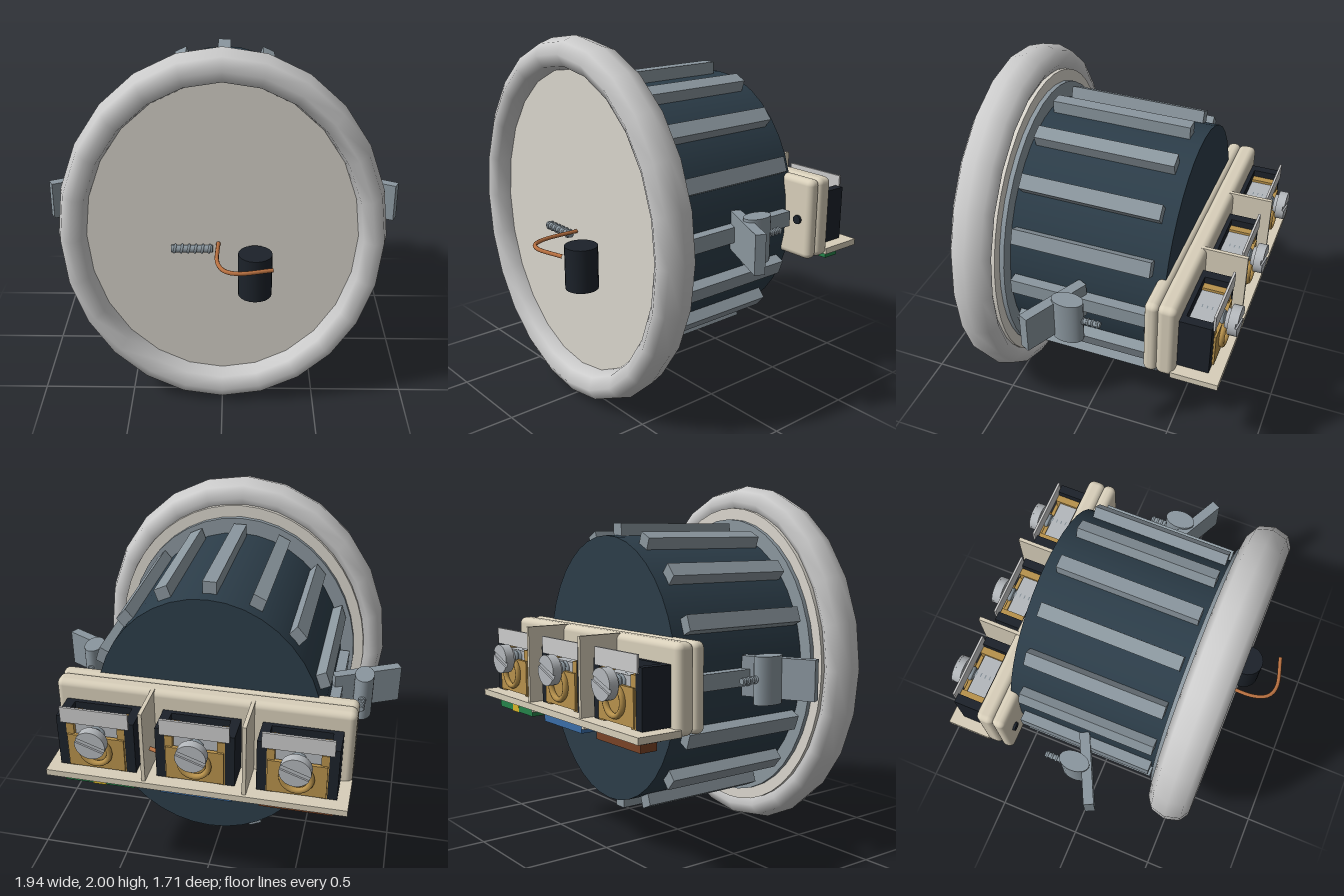
import * as THREE from 'three';
import { RoundedBoxGeometry } from 'three/addons/geometries/RoundedBoxGeometry.js';

const mat = (color) => new THREE.MeshStandardMaterial({ color });
const M = {
  ring: mat(0xdfe0dc), cover: mat(0xdad6cd), body: mat(0x2c3d49), metal: mat(0x8b979f),
  cream: mat(0xd8cfba), black: mat(0x1c222a), copper: mat(0xb87040), brass: mat(0xb8924c),
  steel: mat(0xb4b8bc), label: mat(0xd4d6d2), green: mat(0x25834a), blue: mat(0x3a6ea8),
  brown: mat(0x7a4326), yellow: mat(0xd8b52a),
};

function add(parent, name, geo, material, x = 0, y = 0, z = 0) {
  const mesh = new THREE.Mesh(geo, material);
  mesh.name = name;
  mesh.position.set(x, y, z);
  parent.add(mesh);
  return mesh;
}
const box = (w, h, d) => new THREE.BoxGeometry(w, h, d);
// Cylinder lying along z
const rod = (r, len, seg = 20) => new THREE.CylinderGeometry(r, r, len, seg).rotateX(Math.PI / 2);

// Threaded rod along z, centred on its own origin
function threadedRod(name, r, len, turns) {
  const g = new THREE.Group();
  g.name = name;
  add(g, 'core', rod(r * 0.75, len, 12), M.metal);
  for (let i = 0; i < turns; i++) {
    const t = add(g, 'thread', new THREE.TorusGeometry(r * 0.75, r * 0.28, 6, 14), M.metal,
      0, 0, ((i + 0.5) / turns - 0.5) * len);
    t.rotation.x = 0.2;
  }
  return g;
}

function wire(parent, name, points) {
  const curve = new THREE.CatmullRomCurve3(points.map((p) => new THREE.Vector3(...p)));
  add(parent, name, new THREE.TubeGeometry(curve, 24, 0.011, 8), M.copper);
}

// Round housing: rim, cover, flange, barrel and ribs, all narrowed in x
function housing() {
  const g = new THREE.Group();
  g.name = 'housing';
  g.position.y = 1.0;
  g.scale.x = 0.85;
  add(g, 'rim', new THREE.TorusGeometry(0.912, 0.088, 8, 24).scale(1, 1, 1.33), M.ring, 0, 0, 0.517);
  add(g, 'frontCover', rod(0.87, 0.13, 48), M.cover, 0, 0, 0.465);
  add(g, 'flange', rod(0.805, 0.03, 40), M.metal, 0, 0, 0.39);
  add(g, 'barrel', rod(0.717, 0.86, 40), M.body, 0, 0, -0.047);
  for (let i = 0; i < 16; i++) {
    const a = (i / 16) * Math.PI * 2;
    const rib = add(g, 'rib', box(0.09, 0.085, 0.755), M.metal,
      Math.cos(a) * 0.738, Math.sin(a) * 0.738, -0.028);
    rib.rotation.z = a;
    rib.geometry = box(0.085, 0.085, 0.755);
  }
  return g;
}

// Spring clip at the side: slanted wing, oval barrel and small bolt
function sideClip(side) {
  const g = new THREE.Group();
  g.name = side > 0 ? 'leftClip' : 'rightClip';
  const wing = add(g, 'wing', box(0.39, 0.21, 0.055), M.metal, side * 0.785, 1.005, 0.045);
  wing.rotation.y = -side * 0.46;
  const oval = new THREE.CylinderGeometry(0.053, 0.053, 0.245, 24).scale(1, 1, 1.6);
  add(g, 'clipBarrel', oval, M.metal, side * 0.778, 1.003, -0.028);
  const bolt = threadedRod('clipBolt', 0.021, 0.13, 5);
  bolt.position.set(side * 0.778, 1.01, -0.14);
  g.add(bolt);
  return g;
}

// One screw terminal with its coloured marker underneath
function terminal(x, name, color) {
  const g = new THREE.Group();
  g.name = name;
  g.position.x = x;
  for (const s of [-1, 1]) {
    add(g, 'sideBlock', box(0.05, 0.3, 0.17), M.black, s * 0.18, 0.975, -0.679);
    add(g, 'clampCheek', box(0.04, 0.26, 0.17), M.brass, s * 0.135, 0.955, -0.68);
  }
  add(g, 'backBlock', box(0.4, 0.3, 0.03), M.black, 0, 0.975, -0.605);
  add(g, 'nut', box(0.23, 0.24, 0.13), M.steel, 0, 0.95, -0.675);
  add(g, 'clampPlate', box(0.3, 0.19, 0.02), M.brass, 0, 0.93, -0.765);
  add(g, 'wireLoop', new THREE.TorusGeometry(0.075, 0.016, 8, 24), M.brass, 0, 0.945, -0.785);
  add(g, 'labelPlate', box(0.36, 0.09, 0.012), M.label, 0, 1.14, -0.768);
  // Slotted screw
  const shaft = threadedRod('screwShaft', 0.042, 0.16, 6);
  shaft.position.set(0, 1.03, -0.73);
  g.add(shaft);
  add(g, 'screwCollar', rod(0.055, 0.025), M.steel, 0, 1.03, -0.8);
  add(g, 'screwHead', rod(0.08, 0.04, 24), M.steel, 0, 1.03, -0.828);
  for (const s of [-1, 1]) {
    const cap = new THREE.Shape();
    cap.absarc(0, 0, 0.08, 0.16, Math.PI - 0.16);
    const half = add(g, 'screwHeadHalf', new THREE.ExtrudeGeometry(cap,
      { depth: 0.012, bevelEnabled: false, curveSegments: 12 }), M.steel, 0, 1.03, -0.858);
    half.rotation.z = s > 0 ? 0.35 : 0.35 + Math.PI;
  }
  // Marker below the shelf
  add(g, 'markerFrame', box(0.42, 0.02, 0.12), M.black, 0, 0.777, -0.715);
  add(g, 'marker', box(0.38, 0.08, 0.095), color, 0, 0.76, -0.716);
  return g;
}

// Terminal block on the back
function terminalBlock() {
  const g = new THREE.Group();
  g.name = 'terminalBlock';
  add(g, 'mainPlate', new RoundedBoxGeometry(1.565, 0.45, 0.1, 3, 0.035), M.cream, 0, 1.005, -0.547);
  add(g, 'innerPlate', new RoundedBoxGeometry(1.565, 0.45, 0.075, 3, 0.033), M.cream, 0, 1.005, -0.468);
  add(g, 'shelf', box(1.57, 0.035, 0.25), M.cream, 0, 0.802, -0.705);
  for (const s of [-1, 1]) {
    add(g, 'divider', box(0.02, 0.43, 0.25), M.cream, s * 0.262, 1.015, -0.69);
    add(g, 'lowerDivider', box(0.02, 0.03, 0.2), M.cream, s * 0.262, 0.775, -0.7);
    add(g, 'fixingScrew', rod(0.025, 0.03, 12), M.black, s * 0.7, 1.0, -0.432);
  }
  g.add(terminal(-0.52, 'rightTerminal', M.brown));
  g.add(terminal(0, 'middleTerminal', M.blue));
  g.add(terminal(0.52, 'leftTerminal', M.green));
  add(g, 'markerStripe', box(0.07, 0.084, 0.1), M.yellow, 0.52, 0.76, -0.716);
  return g;
}

export function createModel() {
  const root = new THREE.Group();
  root.name = 'roundTerminalUnit';
  root.add(housing(), sideClip(1), sideClip(-1), terminalBlock());

  // Small upright capsules on the front and back, with bent wires
  const capsule = () => new THREE.CylinderGeometry(0.088, 0.088, 0.235, 20);
  add(root, 'frontCapsule', capsule(), M.black, 0.17, 0.832, 0.635);
  add(root, 'backCapsule', capsule(), M.black, 0.17, 0.832, -0.54);
  wire(root, 'frontWire', [[-0.02, 0.952, 0.5], [-0.02, 0.952, 0.74], [0.015, 0.952, 0.815],
    [0.08, 0.952, 0.84], [0.255, 0.952, 0.803]]);
  wire(root, 'backWire', [[0.1, 0.952, -0.46], [0.1, 0.952, -0.61], [0.14, 0.952, -0.71],
    [0.18, 0.952, -0.73], [0.25, 0.952, -0.71]]);

  // Loose threaded rod lying on the front cover
  const stud = threadedRod('frontStud', 0.026, 0.215, 6);
  stud.position.set(-0.157, 0.93, 0.55);
  stud.rotation.y = Math.PI / 2;
  root.add(stud);
  return root;
}
